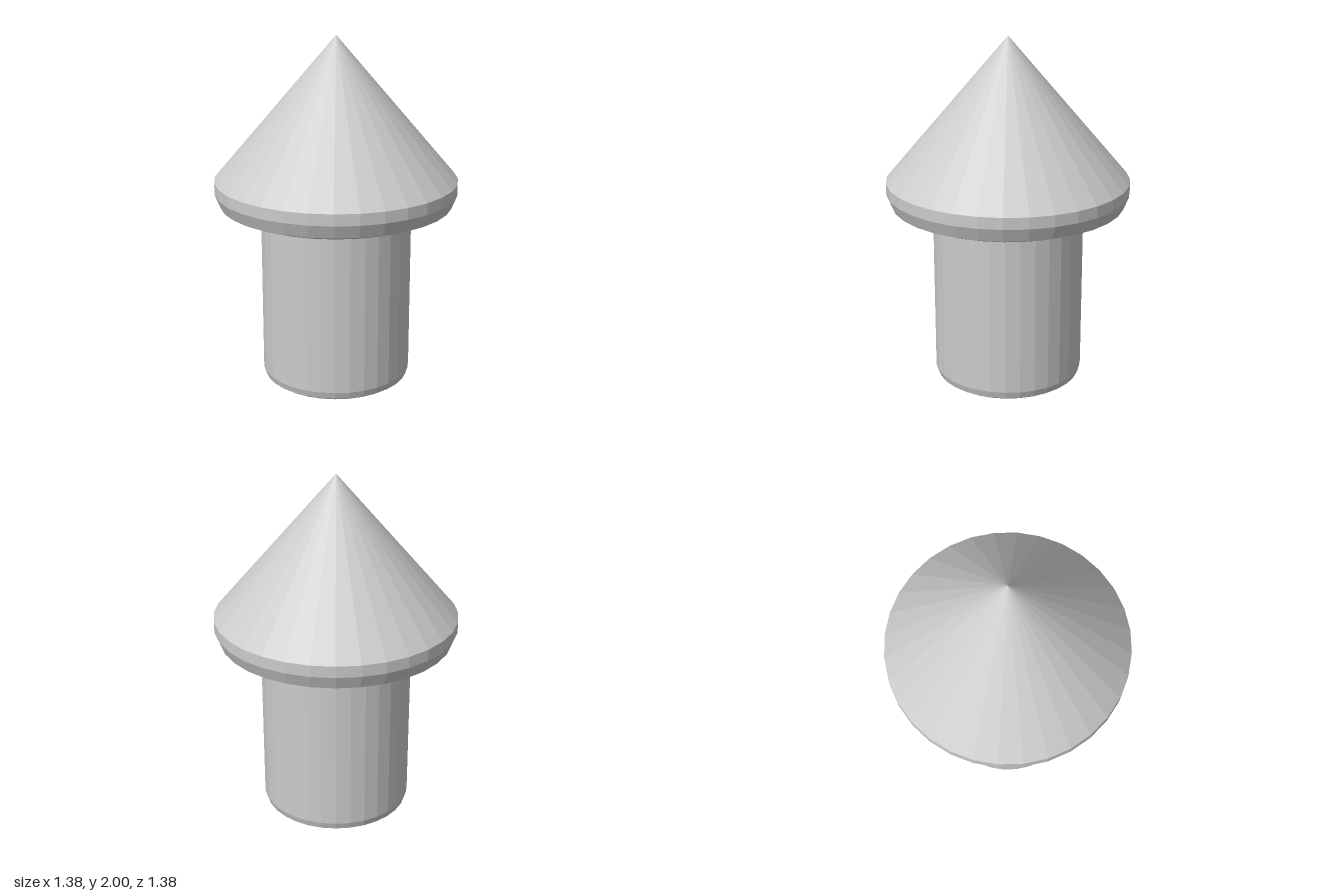
import * as THREE from 'three';

const SIDES = 32;

// Faceted solid of revolution from [radius, height] pairs, bottom to top
function turned(name, profile, material) {
  const points = profile.map(([r, y]) => new THREE.Vector2(r, y));
  const mesh = new THREE.Mesh(new THREE.LatheGeometry(points, SIDES), material);
  mesh.name = name;
  return mesh;
}

export function createModel() {
  const group = new THREE.Group();
  group.name = 'pointedPost';
  const material = new THREE.MeshStandardMaterial({ color: 0xcccccc, flatShading: true });

  // Round shaft with a softened bottom edge
  group.add(turned('shaft', [
    [0, 0], [0.395, 0], [0.418, 0.015], [0.43, 0.055], [0.43, 1.03],
  ], material));

  // Conical cap with a bevelled, overhanging rim
  group.add(turned('cap', [
    [0, 1.025], [0.6, 1.025], [0.66, 1.05], [0.69, 1.125], [0.69, 1.19], [0, 2],
  ], material));

  return group;
}
